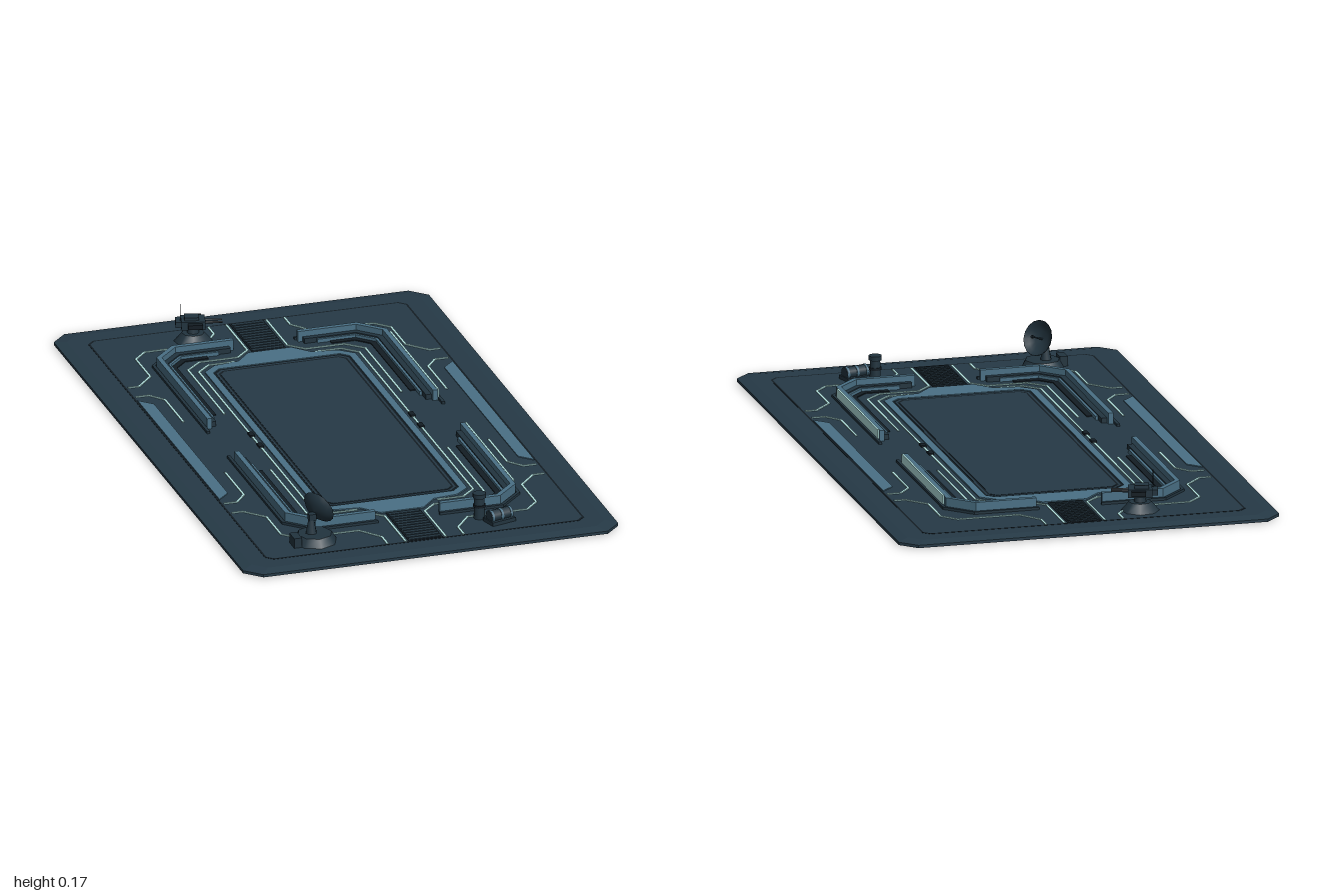
import * as THREE from 'three';

const mat = (name, color) => {
  const m = new THREE.MeshStandardMaterial({ color });
  m.name = name;
  return m;
};
const V = (x, y, z) => new THREE.Vector3(x, y, z);

export function createModel() {
  const root = new THREE.Group();
  root.name = 'platform';
  const M = {
    base: mat('deck slate', 0x263a47),
    blue: mat('panel blue', 0x4a7085),
    dark: mat('groove black', 0x131d24),
    metal: mat('equipment steel', 0x22343f),
    glow: mat('pale glow', 0xb4e4e2),
  };
  const quads = [[1, 1], [-1, 1], [1, -1], [-1, -1]];

  const add = (parent, name, geo, m, x = 0, y = 0, z = 0) => {
    const mesh = new THREE.Mesh(geo, m);
    mesh.name = name;
    mesh.position.set(x, y, z);
    parent.add(mesh);
    return mesh;
  };
  const box = (p, name, m, w, h, d, x, y, z) => add(p, name, new THREE.BoxGeometry(w, h, d), m, x, y, z);
  const cyl = (p, name, m, r1, r2, h, n, x, y, z) =>
    add(p, name, new THREE.CylinderGeometry(r1, r2, h, n), m, x, y, z);

  // Flat plate from [x, z] points, between two heights
  const path = (pts) => pts.map(([x, z]) => new THREE.Vector2(x, -z));
  const plate = (name, pts, m, y0, y1, hole) => {
    const s = new THREE.Shape(path(pts));
    if (hole) s.holes.push(new THREE.Path(path(hole)));
    const g = new THREE.ExtrudeGeometry(s, { depth: y1 - y0, bevelEnabled: false });
    g.rotateX(-Math.PI / 2);
    return add(root, name, g, m, 0, y0, 0);
  };
  // Rectangle with cut corners
  const rect = (a, b, c) => [[a, b - c], [a - c, b], [c - a, b], [-a, b - c], [-a, c - b], [c - a, -b], [a - c, -b], [a, c - b]];

  // Outline of a polyline with constant width and mitred bends
  const band = (pts, w) => {
    const side = (s) => pts.map(([x, z], i) => {
      const dir = (a, b) => new THREE.Vector2(b[0] - a[0], b[1] - a[1]).normalize();
      const d1 = i > 0 ? dir(pts[i - 1], pts[i]) : dir(pts[0], pts[1]);
      const d2 = i < pts.length - 1 ? dir(pts[i], pts[i + 1]) : d1;
      const t = d1.clone().add(d2).normalize();
      const k = (s * w) / 2 / t.dot(d1);
      return [x - t.y * k, z + t.x * k];
    });
    return [...side(1), ...side(-1).reverse()];
  };
  const flip = (pts, sx, sz) => pts.map(([x, z]) => [x * sx, z * sz]);

  // Slab: stacked eight-sided rings with a sloping rim
  const rings = [[0.003, 0.61, 1, 0.05], [0.012, 0.61, 1, 0.05], [0.018, 0.575, 0.965, 0.04]];
  const pos = [];
  const corners = rings.map(([y, a, b, c]) => rect(a, b, c).map(([x, z]) => [x, y, z]));
  for (let r = 0; r < 2; r++) {
    for (let i = 0; i < 8; i++) {
      const j = (i + 1) % 8;
      const [a, b, c, d] = [corners[r][i], corners[r][j], corners[r + 1][j], corners[r + 1][i]];
      pos.push(...a, ...c, ...b, ...a, ...d, ...c);
    }
  }
  for (let i = 1; i < 7; i++) {
    pos.push(...corners[0][0], ...corners[0][i], ...corners[0][i + 1]);
    pos.push(...corners[2][0], ...corners[2][i + 1], ...corners[2][i]);
  }
  const slab = new THREE.BufferGeometry();
  slab.setAttribute('position', new THREE.Float32BufferAttribute(pos, 3));
  slab.computeVertexNormals();
  add(root, 'slab', slab, M.base);

  // Deck groove, central basin and its raised border
  plate('deckGroove', rect(0.519, 0.908, 0.022), M.dark, 0.017, 0.0188, rect(0.513, 0.902, 0.02));
  const border = [];
  const q = [[0.07, 0.665], [0.12, 0.61], [0.2, 0.6], [0.245, 0.56]];
  border.push(...q, ...flip(q, 1, -1).reverse(), ...flip(q, -1, -1), ...flip(q, -1, 1).reverse());
  plate('basinBorder', border, M.blue, 0.017, 0.022, rect(0.222, 0.57, 0.025));
  plate('basinGroove', rect(0.222, 0.57, 0.025), M.dark, 0.017, 0.019);
  plate('basinStep', rect(0.215, 0.562, 0.023), M.base, 0.017, 0.02, rect(0.209, 0.555, 0.02));
  plate('basinFloor', rect(0.203, 0.548, 0.018), M.base, 0.017, 0.0202);

  // Entry roads with slats
  for (const s of [1, -1]) {
    box(root, 'road', M.dark, 0.11, 0.003, 0.235, 0, 0.0185, s * 0.785);
    for (let i = 0; i < 12; i++) {
      box(root, 'roadSlat', M.metal, 0.1, 0.003, 0.011, 0, 0.0198, s * (0.682 + i * 0.0188));
    }
    // Side panels and the small clamps beside the basin
    plate('sidePanel', flip([[0.512, -0.41], [0.512, 0.41], [0.472, 0.37], [0.472, -0.37]], s, 1), M.blue, 0.017, 0.021);
    for (const z of [-0.045, 0.045]) box(root, 'clamp', M.dark, 0.016, 0.006, 0.03, s * 0.261, 0.022, z);
  }

  // Light lines, repeated in each quarter
  const lines = [
    [[0.065, 0.9], [0.065, 0.69], [0.11, 0.645], [0.235, 0.645], [0.288, 0.595], [0.288, 0.23]],
    [[0.13, 0.615], [0.215, 0.615], [0.261, 0.57], [0.261, 0]],
    [[0.124, 0.9], [0.124, 0.843], [0.177, 0.773], [0.372, 0.773], [0.415, 0.727], [0.415, 0.584], [0.472, 0.52], [0.508, 0.52]],
    [[0.508, 0.443], [0.465, 0.443], [0.428, 0.395], [0.428, 0.21]],
  ];
  // Barrier walls: low skirt, dark ledge, tall rib
  const outer = [[0.1, 0.728], [0.305, 0.728], [0.382, 0.65], [0.382, 0.1]];
  const inset = (d, end) => [[end, 0.72 - d], [0.3 - d * 0.4, 0.72 - d], [0.374 - d, 0.645 - d * 0.4], [0.374 - d, end + 0.03]];
  for (const [sx, sz] of quads) {
    for (const l of lines) {
      plate('lightLine', flip(band(l, 0.007), sx, sz), M.glow, 0.017, 0.0205);
      plate('undersideLine', flip(band(l, 0.003), sx, sz), M.glow, 0, 0.004);
    }
    const wall = (name, pts, w, m, y) => plate(name, flip(band(pts, w), sx, sz), m, 0.017, y);
    wall('wallSkirt', outer, 0.01, M.metal, 0.026);
    wall('wallRib', inset(0.007, 0.105), 0.016, M.blue, 0.053);
    wall('wallLedge', inset(0.024, 0.12), 0.018, M.metal, 0.034);
    wall('wallInnerRib', inset(0.037, 0.16), 0.008, M.blue, 0.03);
    wall('wallFoot', inset(0.05, 0.2), 0.018, M.dark, 0.021);
    if (sx > 0) wall('wallLight', [[0.377, 0.62], [0.377, 0.14]], 0.006, M.glow, 0.0545);
  }

  // Dish antenna
  const dish = new THREE.Group();
  dish.name = 'dishAntenna';
  dish.position.set(-0.335, 0.018, 0.8);
  root.add(dish);
  cyl(dish, 'dishBase', M.metal, 0.055, 0.07, 0.026, 8, 0.005, 0.013, 0.005);
  box(dish, 'dishLocker', M.metal, 0.025, 0.032, 0.05, -0.062, 0.016, 0.02);
  cyl(dish, 'dishColumn', M.metal, 0.008, 0.018, 0.055, 8, -0.005, 0.052, 0);
  box(dish, 'dishYoke', M.metal, 0.022, 0.02, 0.022, -0.003, 0.08, 0);
  const head = new THREE.Group();
  head.name = 'dishHead';
  head.position.set(0.005, 0.092, -0.004);
  head.quaternion.setFromUnitVectors(V(0, 1, 0), V(0.78, 0.35, -0.5).normalize());
  dish.add(head);
  const bowl = [[0, 0], [0.025, 0.004], [0.043, 0.013], [0.057, 0.026], [0.055, 0.028], [0.042, 0.017], [0.024, 0.008], [0, 0.004]];
  add(head, 'dishBowl', new THREE.LatheGeometry(bowl.map((p) => new THREE.Vector2(...p)), 16), M.metal);
  cyl(head, 'dishFeed', M.metal, 0.002, 0.003, 0.05, 6, 0, 0.026, 0);
  cyl(head, 'feedTip', M.dark, 0.005, 0.005, 0.008, 6, 0, 0.052, 0);

  // Gun turret
  const turret = new THREE.Group();
  turret.name = 'gunTurret';
  turret.position.set(-0.2, 0.018, -0.818);
  turret.rotation.y = -0.25;
  root.add(turret);
  cyl(turret, 'turretBase', M.metal, 0.036, 0.06, 0.028, 8, 0, 0.014, 0);
  cyl(turret, 'turretColumn', M.metal, 0.016, 0.02, 0.024, 8, 0, 0.036, 0);
  box(turret, 'turretBody', M.metal, 0.075, 0.026, 0.06, 0, 0.06, 0);
  box(turret, 'turretTop', M.metal, 0.045, 0.01, 0.035, -0.005, 0.078, 0);
  box(turret, 'turretRear', M.metal, 0.02, 0.018, 0.045, -0.045, 0.062, 0);
  for (const s of [-1, 1]) {
    box(turret, 'turretPod', M.dark, 0.045, 0.014, 0.018, 0.005, 0.062, s * 0.038);
    cyl(turret, 'gunBarrel', M.dark, 0.003, 0.004, 0.055, 8, 0.063, 0.064, s * 0.011).rotation.z = -Math.PI / 2;
  }
  cyl(turret, 'turretAerial', M.dark, 0.001, 0.0015, 0.062, 5, -0.04, 0.096, 0.01);

  // Generator: upright tank beside a horizontal drum on a skid
  const gen = new THREE.Group();
  gen.name = 'generator';
  gen.position.set(0.262, 0.018, 0.833);
  gen.rotation.y = 0.27;
  root.add(gen);
  box(gen, 'skid', M.metal, 0.085, 0.012, 0.055, 0, 0.006, 0);
  cyl(gen, 'drum', M.metal, 0.019, 0.019, 0.078, 12, 0, 0.022, 0).rotation.z = Math.PI / 2;
  for (const x of [-0.034, 0, 0.034]) {
    cyl(gen, 'drumBand', M.blue, 0.021, 0.021, 0.008, 12, x, 0.022, 0).rotation.z = Math.PI / 2;
  }
  cyl(root, 'tank', M.metal, 0.016, 0.018, 0.072, 12, 0.21, 0.053, 0.79);
  cyl(root, 'tankCap', M.metal, 0.021, 0.021, 0.014, 12, 0.21, 0.094, 0.79);
  cyl(root, 'tankBand', M.dark, 0.0195, 0.0195, 0.008, 12, 0.21, 0.06, 0.79);

  return root;
}
